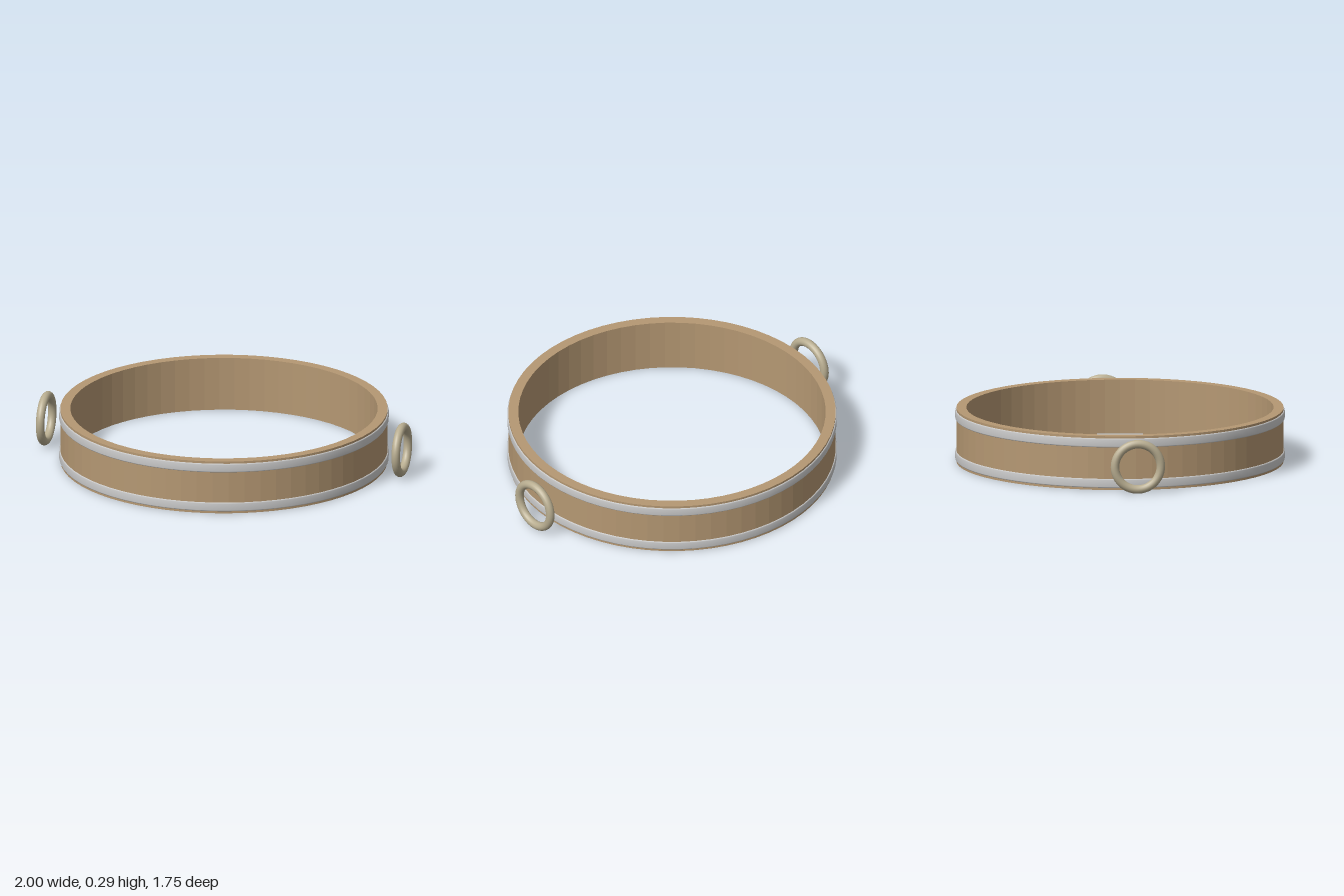
import * as THREE from 'three';

const SIDES = 64;
const HEIGHT = 0.29;

// Revolve a closed [radius, height] outline around the vertical axis
function revolve(outline, material, name) {
  const points = [...outline, outline[0]].map(([r, y]) => new THREE.Vector2(r, y));
  const mesh = new THREE.Mesh(new THREE.LatheGeometry(points, SIDES), material);
  mesh.name = name;
  return mesh;
}

export function createModel() {
  const model = new THREE.Group();
  model.name = 'hoop';
  const wood = new THREE.MeshStandardMaterial({ color: 0xb59873, flatShading: true });
  const metal = new THREE.MeshStandardMaterial({ color: 0xcccccc });
  const brass = new THREE.MeshStandardMaterial({ color: 0xb8ad90 });

  // Wooden hoop with a rectangular section
  model.add(revolve([[0.815, 0], [0.868, 0], [0.868, HEIGHT], [0.815, HEIGHT]], wood, 'woodenHoop'));

  // Metal bands with softened edges, near the top and bottom rims
  const half = 0.024;
  const section = [[0.86, -half], [0.87, -half], [0.874, -half + 0.006],
    [0.874, half - 0.006], [0.87, half], [0.86, half]];
  for (const [name, y] of [['lowerBand', 0.036], ['upperBand', HEIGHT - 0.036]]) {
    const band = revolve(section, metal, name);
    band.position.y = y;
    model.add(band);
  }

  // Upright rings standing off both sides
  for (const [name, side] of [['leftRing', 1], ['rightRing', -1]]) {
    const ring = new THREE.Mesh(new THREE.TorusGeometry(0.122, 0.023, 16, 48), brass);
    ring.name = name;
    ring.rotation.y = Math.PI / 2;
    ring.position.set(side * 0.977, HEIGHT / 2, 0);
    model.add(ring);
  }
  return model;
}
